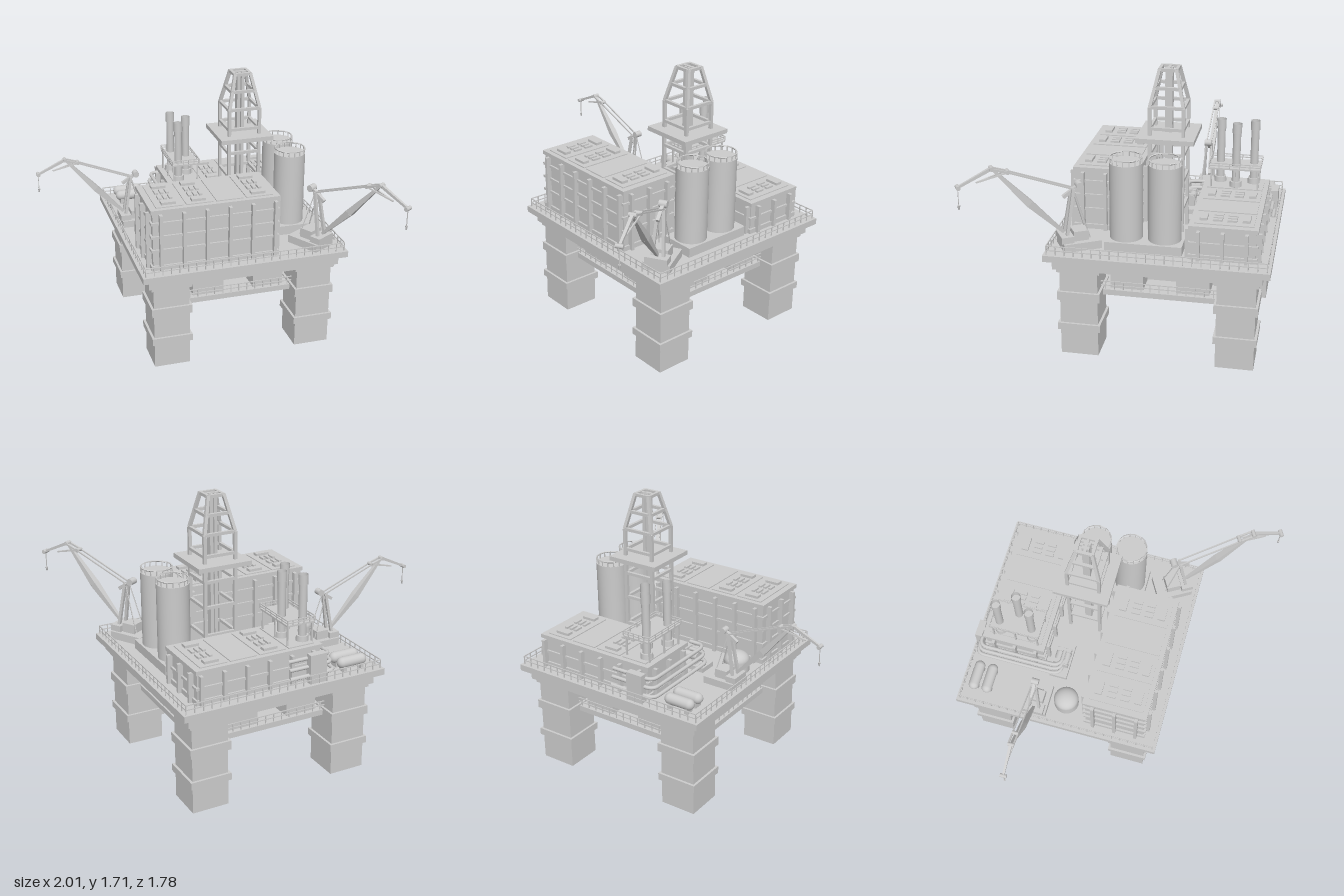
import * as THREE from 'three';

const V = (x, y, z) => new THREE.Vector3(x, y, z);
const mat = new THREE.MeshStandardMaterial({ color: 0xcccccc });
const flat = new THREE.MeshStandardMaterial({ color: 0xcccccc, flatShading: true });

function add(parent, name, geo, x = 0, y = 0, z = 0, m = mat) {
  const mesh = new THREE.Mesh(geo, m);
  mesh.name = name;
  mesh.position.set(x, y, z);
  parent.add(mesh);
  return mesh;
}
// Box given by its min and max on each axis
const box = (p, name, x0, x1, y0, y1, z0, z1) =>
  add(p, name, new THREE.BoxGeometry(x1 - x0, y1 - y0, z1 - z0), (x0 + x1) / 2, (y0 + y1) / 2, (z0 + z1) / 2);
// Upright cylinder
const cyl = (p, name, r0, r1, y0, y1, x, z, n = 24) =>
  add(p, name, new THREE.CylinderGeometry(r1, r0, y1 - y0, n), x, (y0 + y1) / 2, z);
// Straight bar between two points, optionally tapered
function bar(p, name, a, b, r0, r1 = r0, n = 4) {
  const geo = new THREE.CylinderGeometry(r1, r0, a.distanceTo(b), n);
  if (n === 4) geo.rotateY(Math.PI / 4);
  const mesh = add(p, name, geo, 0, 0, 0, n === 4 ? flat : mat);
  mesh.position.lerpVectors(a, b, 0.5);
  mesh.quaternion.setFromUnitVectors(V(0, 1, 0), b.clone().sub(a).normalize());
  return mesh;
}
function group(parent, name) {
  const g = new THREE.Group();
  g.name = name;
  parent.add(g);
  return g;
}
// Straight run of railing: posts, middle rail and top rail
function railRun(p, a, b, h, n) {
  const up = V(0, h, 0), t = 0.004;
  for (let i = 0; i <= n; i++) {
    const q = a.clone().lerp(b, i / n);
    bar(p, 'railPost', q, q.clone().add(up), t);
  }
  for (const k of [0.5, 1]) {
    const o = V(0, h * k, 0);
    bar(p, 'rail', a.clone().add(o), b.clone().add(o), t);
  }
}
function railRect(p, x0, x1, z0, z1, y, h, n) {
  const c = [V(x0, y, z0), V(x1, y, z0), V(x1, y, z1), V(x0, y, z1)];
  c.forEach((a, i) => railRun(p, a, c[(i + 1) % 4], h, n));
}

const CX = 0.155, CZ = -0.222, TOP = 0.68;

function buildStructure(root) {
  const g = group(root, 'platformStructure');
  const slab = (name, h, y0, y1) => box(g, name, CX - h, CX + h, y0, y1, CZ - h, CZ + h);
  slab('mainDeck', 0.665, 0.64, TOP);
  slab('deckUnderframe', 0.62, 0.575, 0.64);
  slab('lowerDeck', 0.5, 0.375, 0.41);
  slab('lowerCore', 0.32, 0.41, 0.575);
  // Legs with collars
  for (const sx of [-1, 1]) for (const sz of [-1, 1]) {
    const x = CX + sx * 0.47, z = CZ + sz * 0.47;
    const part = (name, h, y0, y1) => box(g, name, x - h, x + h, y0, y1, z - h, z + h);
    part('leg', 0.115, 0, 0.575);
    part('legCap', 0.13, 0.548, 0.575);
    part('upperCollar', 0.13, 0.365, 0.42);
    part('lowerCollar', 0.13, 0.165, 0.21);
  }
  // Machinery blocks under the deck
  for (const s of [-1, 1]) for (const k of [-0.2, 0.2]) {
    box(g, 'underDeckBlock', CX + k - 0.1, CX + k + 0.1, 0.41, 0.575, CZ + s * 0.39 - 0.08, CZ + s * 0.39 + 0.08);
    box(g, 'underDeckBlock', CX + s * 0.39 - 0.08, CX + s * 0.39 + 0.08, 0.41, 0.575, CZ + k - 0.1, CZ + k + 0.1);
  }
  const r = group(root, 'railings');
  railRect(r, CX - 0.645, CX + 0.645, CZ - 0.645, CZ + 0.645, TOP, 0.055, 24);
  railRect(r, CX - 0.49, CX + 0.49, CZ - 0.49, CZ + 0.49, 0.41, 0.05, 18);
}

// Ribbed module with roof hatches
function buildHouse(root, name, x0, z0, top, bands, vents) {
  const g = group(root, name), w = 0.82, d = 0.405, x1 = x0 + w, z1 = z0 + d;
  const o = 0.012, rib = 0.01;
  box(g, 'walls', x0 + o, x1 - o, TOP, top - 0.012, z0 + o, z1 - o);
  box(g, 'roof', x0, x1, top - 0.025, top, z0, z1);
  box(g, 'plinth', x0, x1, TOP, TOP + 0.03, z0, z1);
  for (const y of bands) box(g, 'wallBand', x0, x1, y - 0.008, y + 0.008, z0, z1);
  const e = 0.02, yr = top - 0.03;
  for (let i = 0; i < 6; i++) {
    const x = x0 + 0.06 + i * 0.146;
    if (x > x1) continue;
    box(g, 'wallRib', x - rib, x + rib, TOP, yr, z0 - e, z1 + e);
  }
  for (const k of [0.065, 0.205, 0.345]) box(g, 'wallRib', x0 - e, x1 + e, TOP, yr, z0 + k - rib, z0 + k + rib);
  // Roof panels, some with vents
  vents.forEach((vent, i) => {
    const c = x0 + 0.125 + i * 0.19, zc = (z0 + z1) / 2;
    box(g, 'roofPanel', c - 0.085, c + 0.085, top, top + 0.006, z0 + 0.03, z1 - 0.03);
    if (!vent) return;
    for (const s of [-1, 1]) {
      box(g, 'roofVent', c - 0.045, c + 0.045, top, top + 0.022, zc + s * 0.125 - 0.022, zc + s * 0.125 + 0.022);
      for (const k of [-0.035, 0, 0.035])
        box(g, 'roofSlot', c + k - 0.01, c + k + 0.01, top, top + 0.018, zc + s * 0.042 - 0.028, zc + s * 0.042 + 0.028);
    }
  });
}

function buildStacks(root) {
  const g = group(root, 'exhaustStacks');
  for (const [x, z] of [[-0.035, -0.705], [0.045, -0.6], [-0.035, -0.495]]) {
    cyl(g, 'stackBase', 0.04, 0.036, 0.88, 0.93, x, z);
    cyl(g, 'stackPipe', 0.025, 0.025, 0.93, 1.25, x, z);
    add(g, 'stackTop', new THREE.CylinderGeometry(0.029, 0.029, 0.06, 24, 1, true), x, 1.275, z).material =
      Object.assign(mat.clone(), { side: THREE.DoubleSide });
    cyl(g, 'stackPlug', 0.028, 0.028, 1.245, 1.265, x, z);
  }
  box(g, 'servicePlatform', -0.09, 0.095, 1.015, 1.025, -0.755, -0.435);
  railRect(g, -0.09, 0.095, -0.755, -0.435, 1.025, 0.03, 5);
  for (const x of [-0.08, 0.085]) for (const z of [-0.74, -0.595, -0.45])
    bar(g, 'platformPost', V(x, 0.88, z), V(x, 1.02, z), 0.007);
}

function buildDerrick(root) {
  const g = group(root, 'derrick');
  g.position.set(0.303, 0, -0.218);
  const ring = (h, y, t) => {
    for (const s of [-1, 1]) {
      bar(g, 'crossBeam', V(-h, y, s * h), V(h, y, s * h), t);
      bar(g, 'crossBeam', V(s * h, y, -h), V(s * h, y, h), t);
    }
  };
  for (const sx of [-1, 1]) for (const sz of [-1, 1]) {
    bar(g, 'towerLeg', V(sx * 0.1, TOP, sz * 0.1), V(sx * 0.1, 1.49, sz * 0.1), 0.014);
    bar(g, 'towerTopLeg', V(sx * 0.1, 1.49, sz * 0.1), V(sx * 0.05, 1.71, sz * 0.05), 0.014);
  }
  for (const [h, y] of [[0.1, 0.86], [0.1, 1.04], [0.1, 1.2], [0.1, 1.36], [0.1, 1.49], [0.075, 1.6], [0.05, 1.705]]) ring(h, y, 0.013);
  box(g, 'drillFloor', -0.173, 0.173, 1.29, 1.318, -0.173, 0.173);
  for (const x of [-0.014, 0.014]) box(g, 'drillColumn', x - 0.01, x + 0.01, TOP, 1.71, -0.022, 0.022);
  bar(g, 'crownBeam', V(-0.05, 1.705, 0), V(0.05, 1.705, 0), 0.012);
}

function buildTanks(root) {
  const g = group(root, 'storageTanks'), x = 0.578;
  box(g, 'tankBase', 0.465, 0.69, TOP, 0.74, -0.36, 0.1);
  for (const z of [-0.243, -0.012]) {
    cyl(g, 'tankShell', 0.099, 0.099, 0.74, 1.21, x, z, 32);
    const pt = (i, y) => V(x + 0.095 * Math.cos(i * Math.PI / 8), y, z + 0.095 * Math.sin(i * Math.PI / 8));
    for (let i = 0; i < 16; i++) {
      bar(g, 'tankRailPost', pt(i, 1.21), pt(i, 1.24), 0.004);
      bar(g, 'tankRail', pt(i, 1.24), pt(i + 1, 1.24), 0.005);
    }
  }
  // Horizontal pressure vessels on saddles
  for (const z of [-0.795, -0.708]) {
    const v = add(g, 'pressureVessel', new THREE.CapsuleGeometry(0.034, 0.13, 6, 20), -0.33, 0.735, z);
    v.rotation.z = Math.PI / 2;
    for (const k of [-0.39, -0.27]) box(g, 'vesselSaddle', k - 0.01, k + 0.01, TOP, 0.73, z - 0.028, z + 0.028);
  }
  // Domed tank
  cyl(g, 'domedTank', 0.079, 0.079, TOP, 0.75, -0.335, -0.19);
  const dome = add(g, 'tankDome', new THREE.SphereGeometry(0.079, 24, 8, 0, Math.PI * 2, 0, Math.PI / 2), -0.335, 0.75, -0.19);
  dome.scale.y = 0.7;
}

function buildPipes(root) {
  const g = group(root, 'pipework');
  for (let i = 0; i < 3; i++) {
    const y = 0.73 + i * 0.05, x = -0.182 + i * 0.012, z = -0.845 + i * 0.012, r = 0.05, path = new THREE.CurvePath();
    const line = (a, b) => path.add(new THREE.LineCurve3(a, b));
    const bend = (a, m, b) => path.add(new THREE.QuadraticBezierCurve3(a, m, b));
    line(V(0.125, y, z), V(x + r, y, z));
    bend(V(x + r, y, z), V(x, y, z), V(x, y, z + r));
    line(V(x, y, z + r), V(x, y, -0.30 - r));
    bend(V(x, y, -0.30 - r), V(x, y, -0.28), V(x + r, y, -0.28));
    line(V(x + r, y, -0.28), V(-0.05, y, -0.28));
    add(g, 'pipe', new THREE.TubeGeometry(path, 60, 0.012, 10), 0, 0, 0);
  }
  box(g, 'valveBox', -0.11, 0, TOP, 0.86, -0.865, -0.82);
  box(g, 'pumpBase', -0.19, 0.045, TOP, 0.71, -0.35, -0.235);
  for (const z of [-0.315, -0.265]) {
    const c = add(g, 'pump', new THREE.CylinderGeometry(0.024, 0.024, 0.12, 20), -0.07, 0.76, z);
    c.rotation.z = Math.PI / 2;
  }
  for (const x of [-0.11, -0.03]) box(g, 'pumpBracket', x - 0.012, x + 0.012, 0.71, 0.79, -0.335, -0.245);
}

// Crane built along +x from its boom pivot, deck at y = 0
function buildCrane(root, name, x, z, angle, scale) {
  const g = group(root, name);
  g.position.set(x, TOP, z);
  g.rotation.y = angle;
  g.scale.setScalar(scale);
  box(g, 'craneBase', -0.21, 0.02, 0, 0.05, -0.085, 0.085);
  box(g, 'turret', -0.045, 0.03, 0.05, 0.09, -0.07, 0.07);
  box(g, 'cab', -0.14, -0.05, 0.05, 0.11, -0.05, 0.05);
  const mid = V(0.2, 0.31, 0), elbow = V(0.41, 0.55, 0), node = V(0.32, 0.52, 0), tip = V(0.605, 0.46, 0), head = V(-0.06, 0.37, 0);
  for (const s of [-1, 1]) {
    const o = V(0, 0, s * 0.018), at = p => p.clone().add(o);
    bar(g, 'mast', V(-0.01, 0.07, s * 0.035), at(head), 0.013);
    bar(g, 'boomTie', at(head), at(node), 0.006);
    bar(g, 'nodeStrut', at(node), at(elbow), 0.008);
    bar(g, 'jibStrut', at(node), V(0.5, 0.475, 0), 0.006);
    bar(g, 'backstay', at(head), V(-0.15, 0.06, s * 0.04), 0.004);
  }
  bar(g, 'lowerBoom', V(0, 0.1, 0), mid, 0.012, 0.03);
  bar(g, 'upperBoom', mid, elbow, 0.03, 0.01);
  bar(g, 'jib', elbow, tip, 0.014, 0.01);
  bar(g, 'winchArm', V(0.0, 0.32, 0), V(-0.1, 0.385, 0), 0.015);
  const drum = add(g, 'winchDrum', new THREE.CylinderGeometry(0.022, 0.022, 0.05, 16), -0.1, 0.385, 0);
  drum.rotation.x = Math.PI / 2;
  for (const p of [elbow, node, tip]) {
    const pin = add(g, 'pulley', new THREE.CylinderGeometry(0.013, 0.013, 0.045, 12), p.x, p.y, p.z);
    pin.rotation.x = Math.PI / 2;
  }
  bar(g, 'hoistCable', tip, V(0.605, 0.34, 0), 0.003);
  cyl(g, 'hook', 0.004, 0.009, 0.325, 0.35, 0.605, 0, 8);
}

export function createModel() {
  const root = new THREE.Group();
  root.name = 'offshorePlatform';
  buildStructure(root);
  buildHouse(root, 'frontModule', -0.435, -0.048, 1.08, [0.81, 0.9, 0.99], [1, 1, 0, 1]);
  buildHouse(root, 'rearModule', -0.115, -0.803, 0.89, [0.78], [0, 1, 0, 1]);
  buildStacks(root);
  buildDerrick(root);
  buildTanks(root);
  buildPipes(root);
  buildCrane(root, 'frontCrane', 0.68, 0.345, -Math.PI / 3, 1);
  buildCrane(root, 'sideCrane', -0.45, -0.372, Math.PI, 0.9);
  return root;
}
